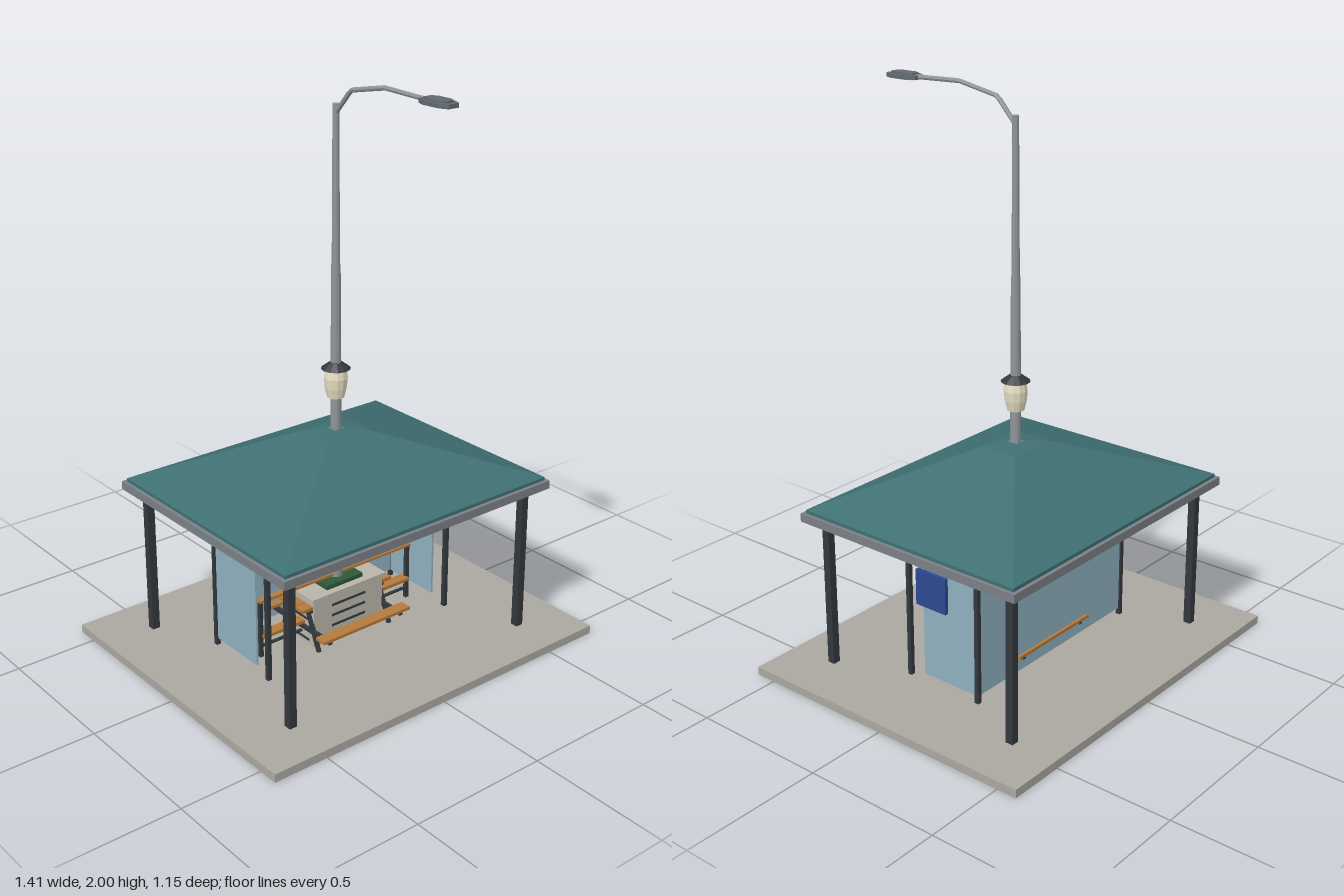
import * as THREE from 'three';

const mat = (color, double = false) => new THREE.MeshStandardMaterial({
  color, flatShading: true, side: double ? THREE.DoubleSide : THREE.FrontSide });
const M = {
  slab: mat(0xaaa8a0), dark: mat(0x33383d), fascia: mat(0x7b8085), roof: mat(0x3f7073, true),
  steel: mat(0x8f959a), cream: mat(0xe6dfc4), glass: mat(0x8fb0c0), blue: mat(0x2a4a90),
  wood: mat(0xb57a3c), stone: mat(0xb9b5aa), green: mat(0x2c5a38), red: mat(0xc8342a),
  white: mat(0xf2f2f0), yellow: mat(0xf0b428), head: mat(0x626a72), grey: mat(0xb0b2b2, true),
};

export function createModel() {
  const root = new THREE.Group();
  const add = (name, geo, material, x = 0, y = 0, z = 0, parent = root) => {
    const m = new THREE.Mesh(geo, material);
    m.name = name;
    m.position.set(x, y, z);
    parent.add(m);
    return m;
  };
  const box = (name, material, w, h, d, x, y, z, parent) =>
    add(name, new THREE.BoxGeometry(w, h, d), material, x, y, z, parent);
  const cyl = (name, material, rTop, rBottom, y0, y1, sides = 12) =>
    add(name, new THREE.CylinderGeometry(rTop, rBottom, y1 - y0, sides), material, 0, (y0 + y1) / 2, 0);
  // Square bar between two points
  const bar = (name, material, a, b, t, parent) => {
    const p = new THREE.Vector3(...a), q = new THREE.Vector3(...b);
    const m = box(name, material, t, t, p.distanceTo(q), 0, 0, 0, parent);
    m.position.copy(p).add(q).multiplyScalar(0.5);
    m.lookAt(q);
    return m;
  };
  const group = (name) => {
    const g = new THREE.Group();
    g.name = name;
    root.add(g);
    return g;
  };

  // Ground slab
  box('slab', M.slab, 1.41, 0.03, 1.15, 0, 0.015, 0);

  // Pavilion posts, fascia and hipped roof
  for (const sx of [-1, 1]) for (const sz of [-1, 1])
    box('pavilionPost', M.dark, 0.028, 0.545, 0.028, sx * 0.51, 0.3, sz * 0.4);
  box('fascia', M.fascia, 1.15, 0.03, 0.925, 0, 0.585, 0);
  const rings = [[0.562, 0.449, 0.6], [0.562, 0.449, 0.612], [0.095, 0.075, 0.789], [0.02, 0.02, 0.8]];
  const pos = [], idx = [];
  for (const [w, d, y] of rings) pos.push(-w, y, d, w, y, d, w, y, -d, -w, y, -d);
  for (let r = 0; r < rings.length - 1; r++) for (let i = 0; i < 4; i++) {
    const a = r * 4 + i, b = r * 4 + (i + 1) % 4;
    idx.push(a, b, b + 4, a, b + 4, a + 4);
  }
  let roof = new THREE.BufferGeometry();
  roof.setAttribute('position', new THREE.Float32BufferAttribute(pos, 3));
  roof.setIndex(idx);
  roof = roof.toNonIndexed();
  roof.computeVertexNormals();
  add('hippedRoof', roof, M.roof);

  // Glazed shelter with slim posts and an arched canopy
  const shelter = group('shelter');
  for (const s of [-1, 1]) {
    for (const z of [0.135, -0.165])
      box('shelterPost', M.dark, 0.016, 0.52, 0.016, s * 0.4, 0.29, z, shelter);
    box('sideGlass', M.glass, 0.008, 0.42, 0.235, s * 0.398, 0.265, -0.0475, shelter);
  }
  box('backGlass', M.glass, 0.79, 0.42, 0.008, 0, 0.265, -0.163, shelter);
  box('noticePanel', M.blue, 0.014, 0.13, 0.13, 0.409, 0.385, 0.025, shelter);
  const arch = new THREE.Shape();
  const archY = (z) => 0.588 - 0.034 * (z / 0.21) ** 2;
  for (let i = 0; i <= 10; i++) {
    const z = -0.21 + i * 0.042;
    i ? arch.lineTo(z, archY(z)) : arch.moveTo(z, archY(z));
  }
  for (let i = 10; i >= 0; i--) arch.lineTo(-0.21 + i * 0.042, archY(-0.21 + i * 0.042) + 0.008);
  const canopyGeo = new THREE.ExtrudeGeometry(arch, { depth: 0.86, bevelEnabled: false });
  canopyGeo.translate(0, 0, -0.43).rotateY(-Math.PI / 2);
  add('canopy', canopyGeo, M.grey, 0, 0, 0.008, shelter);

  // Lamp pole in stepped sections with a lantern collar
  cyl('poleFoot', M.steel, 0.024, 0.024, 0.02, 0.29);
  cyl('poleLower', M.steel, 0.019, 0.02, 0.29, 0.92);
  cyl('poleMiddle', M.steel, 0.016, 0.018, 1.03, 1.38);
  cyl('poleUpper', M.steel, 0.011, 0.014, 1.38, 1.91);
  const lantern = [[0.001, 0.915], [0.03, 0.915], [0.038, 0.95], [0.041, 0.985], [0.036, 1.015], [0.001, 1.02]];
  add('lantern', new THREE.LatheGeometry(lantern.map((p) => new THREE.Vector2(...p)), 12), M.cream);
  cyl('lanternCap', M.dark, 0.022, 0.051, 1.017, 1.039);

  // Bent arm and lamp head
  const arm = [[0, 1.88, 0], [0, 1.963, 0.075], [0, 1.994, 0.235], [0, 1.988, 0.43]];
  const path = new THREE.CurvePath();
  for (let i = 0; i < 3; i++)
    path.add(new THREE.LineCurve3(new THREE.Vector3(...arm[i]), new THREE.Vector3(...arm[i + 1])));
  add('lampArm', new THREE.TubeGeometry(path, 24, 0.008, 8, false), M.steel);
  const headShape = (s) => new THREE.Shape([[-0.02, -0.065], [0.02, -0.065], [0.034, -0.035], [0.034, 0.035],
    [0.02, 0.065], [-0.02, 0.065], [-0.034, 0.035], [-0.034, -0.035]]
    .map(([x, z]) => new THREE.Vector2(x * s, z * s)));
  const slice = (s, depth) =>
    new THREE.ExtrudeGeometry(headShape(s), { depth, bevelEnabled: false }).rotateX(Math.PI / 2);
  add('lampHead', slice(1, 0.014), M.head, 0, 1.994, 0.475);
  add('lampHeadTop', slice(0.75, 0.007), M.head, 0, 2.0, 0.475);
  add('lampLens', slice(0.7, 0.004), M.cream, 0, 1.981, 0.475);

  // Downward triangle sign and yellow plate on the pole
  const triangle = (s) => new THREE.Shape([[-0.082, 0.055], [0, -0.08], [0.082, 0.055]]
    .map(([x, y]) => new THREE.Vector2(x * s, y * s)));
  const plate = (s, depth) =>
    new THREE.ExtrudeGeometry(triangle(s), { depth, bevelEnabled: false }).translate(0, 0, -depth / 2);
  const sign = group('roadSign');
  add('signBorder', plate(1, 0.006), M.red, 0, 0.495, 0, sign);
  add('signFace', plate(0.7, 0.009), M.white, 0, 0.497, 0, sign);
  box('signPlate', M.yellow, 0.105, 0.045, 0.013, 0, 0.527, 0, sign);

  // Planter around the pole foot, with dark slots on every side
  const planter = group('planter');
  box('planterBody', M.stone, 0.31, 0.18, 0.14, 0, 0.12, 0, planter);
  box('planterRim', M.stone, 0.33, 0.012, 0.155, 0, 0.215, 0, planter);
  box('planting', M.green, 0.16, 0.016, 0.1, 0, 0.229, 0, planter);
  for (let i = 0; i < 4; i++) {
    const y = 0.05 + i * 0.04;
    box('frontSlot', M.dark, 0.15, 0.008, 0.146, 0, y, 0, planter);
    box('sideSlot', M.dark, 0.316, 0.008, 0.09, 0, y, 0, planter);
  }

  // Railing either side of the planter
  const railing = group('railing');
  for (const s of [-1, 1]) box('railPost', M.dark, 0.014, 0.215, 0.014, s * 0.333, 0.138, 0, railing);
  box('topRail', M.wood, 0.68, 0.009, 0.025, 0, 0.247, 0, railing);
  box('lowRail', M.wood, 0.66, 0.012, 0.04, 0, 0.112, 0, railing);
  for (const y of [0.101, 0.07]) box('railBar', M.dark, 0.66, 0.006, 0.012, 0, y, 0, railing);

  // Picnic table with two benches on splayed legs
  const table = group('picnicTable');
  for (let i = -1; i <= 1; i++) box('tablePlank', M.wood, 0.4, 0.012, 0.042, 0, 0.183, i * 0.046, table);
  for (const sz of [-1, 1]) box('benchPlank', M.wood, 0.39, 0.011, 0.045, 0, 0.109, sz * 0.155, table);
  for (const sx of [-1, 1]) {
    const x = sx * 0.16;
    box('benchBeam', M.dark, 0.014, 0.014, 0.34, x, 0.096, 0, table);
    box('tableBeam', M.dark, 0.014, 0.012, 0.13, x, 0.171, 0, table);
    for (const sz of [-1, 1])
      bar('tableLeg', M.dark, [x, 0.03, sz * 0.105], [x, 0.175, sz * 0.04], 0.013, table);
  }
  return root;
}
